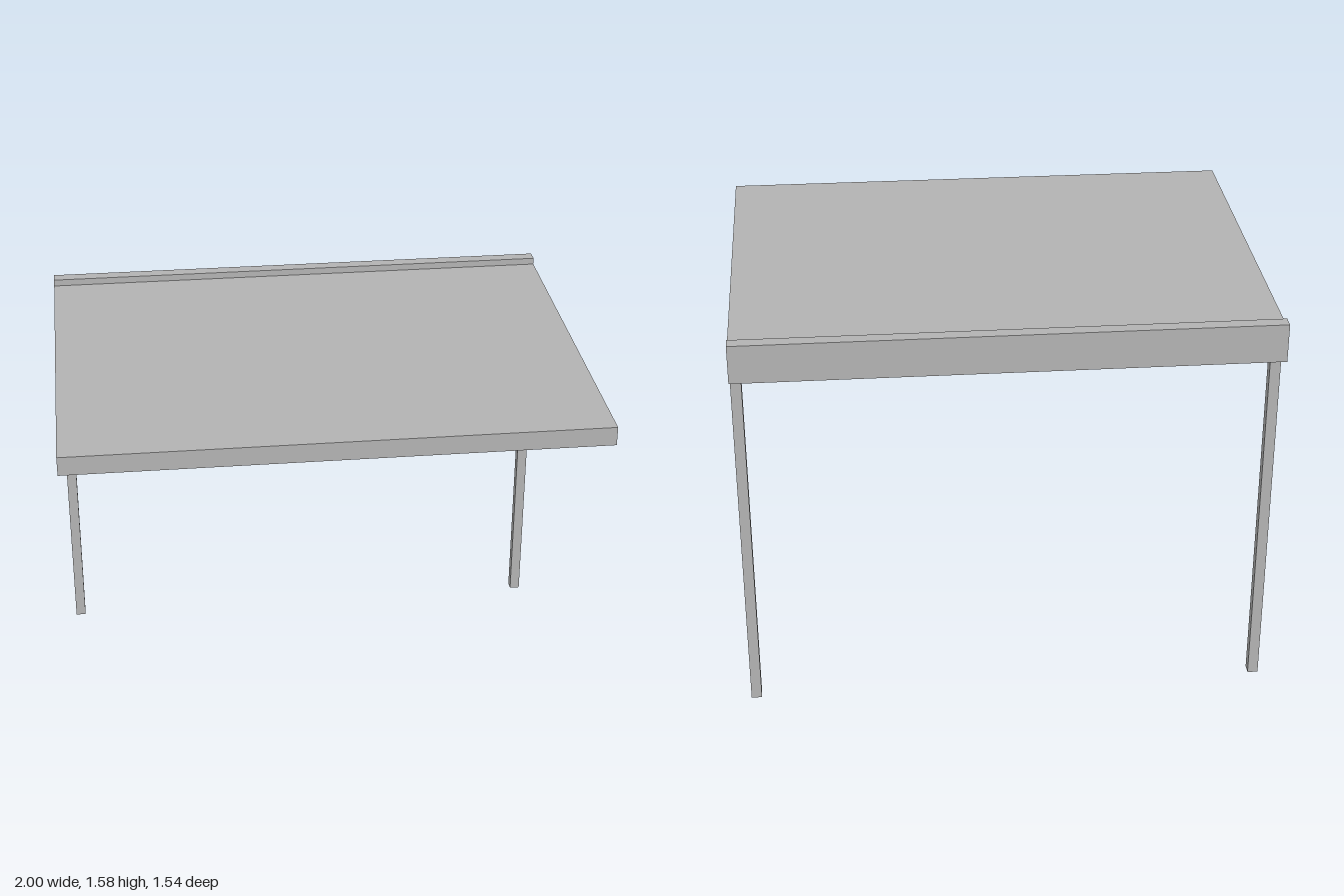
import * as THREE from 'three';

export function createModel() {
  const model = new THREE.Group();
  model.name = 'canopy';

  const grey = new THREE.MeshStandardMaterial({ color: 0xb2b2b2 });
  grey.name = 'plain grey';

  // Box given by its minimum and maximum corners
  function addBox(name, [x0, y0, z0], [x1, y1, z1]) {
    const mesh = new THREE.Mesh(new THREE.BoxGeometry(x1 - x0, y1 - y0, z1 - z0), grey);
    mesh.position.set((x0 + x1) / 2, (y0 + y1) / 2, (z0 + z1) / 2);
    mesh.name = name;
    model.add(mesh);
  }

  const roofBottom = 1.48;
  const beamFront = -0.718;

  // Flat roof slab, butting against the rear beam
  addBox('roof', [-1, roofBottom, beamFront], [1, 1.552, 0.769]);

  // Deeper beam along the rear edge
  addBox('rearBeam', [-1, 1.43, -0.769], [1, 1.578, beamFront]);

  // Two slim posts under the roof, just ahead of the beam
  for (const [name, x] of [['leftPost', 0.98], ['rightPost', -0.98]]) {
    addBox(name, [x - 0.02, 0, -0.677], [x + 0.02, roofBottom, -0.638]);
  }

  return model;
}
